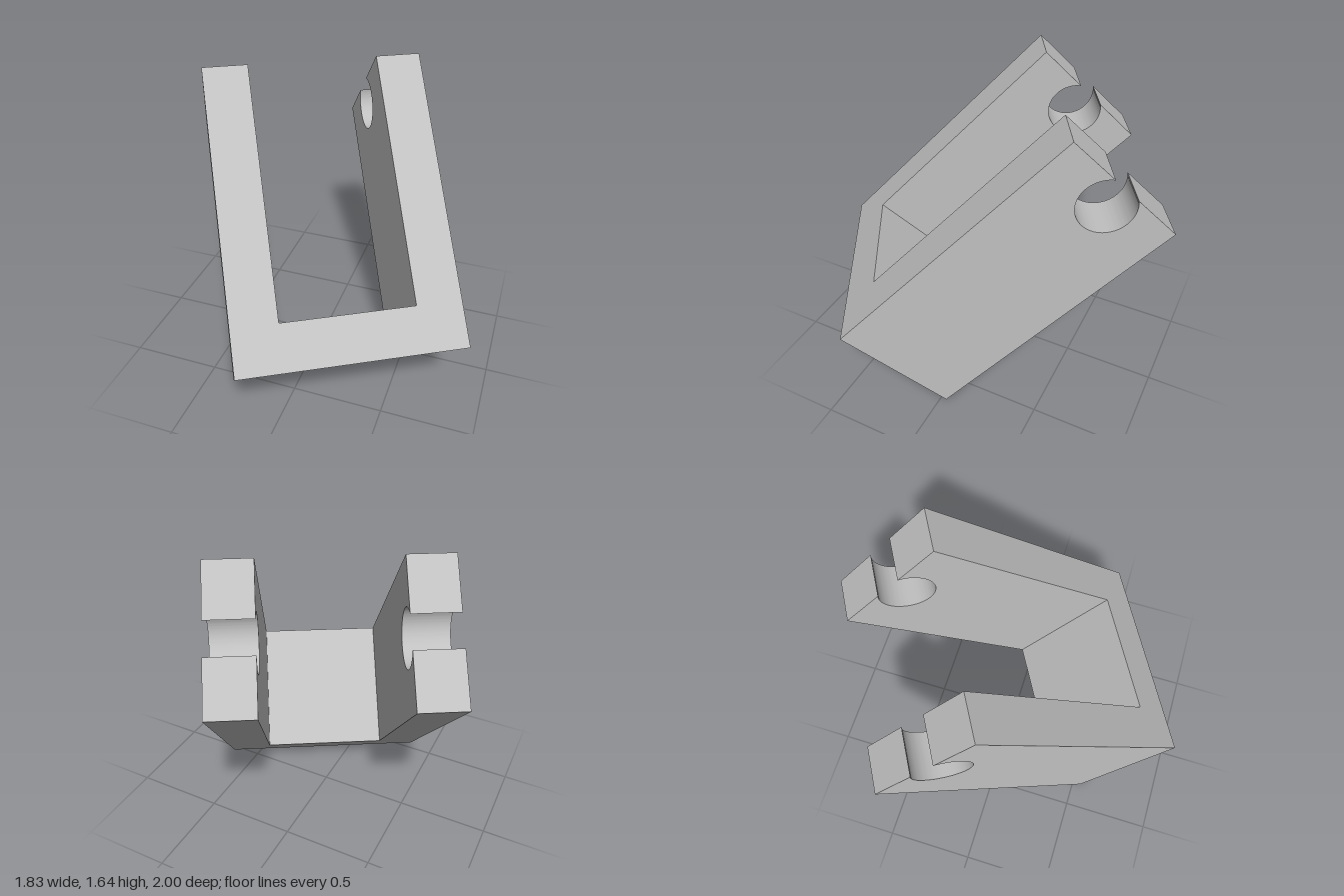
import * as THREE from 'three';
import { toCreasedNormals } from 'three/addons/utils/BufferGeometryUtils.js';

const WIDTH = 1.167, DEPTH = 0.733, LENGTH = 1.583, WALL = 0.239;
const HOLE_R = 0.146, HOLE_INSET = 0.12; // hole centre sits this far below the arm tip

export function createModel() {
  const grey = new THREE.MeshStandardMaterial({ color: 0xc0c0c0 });
  grey.name = 'light grey';

  const model = new THREE.Group();
  model.name = 'clevisBracket';

  // Bracket in its own frame: x across, y along the arms, z through the depth
  const bracket = new THREE.Group();
  bracket.name = 'tiltedBracket';
  bracket.rotation.set(-Math.PI / 4, Math.PI / 6, 0, 'YXZ');
  bracket.position.set(-0.355, 0, 0.551);
  model.add(bracket);

  // Base bar joining the arms
  const base = new THREE.Mesh(new THREE.BoxGeometry(WIDTH, WALL, DEPTH), grey);
  base.name = 'base';
  base.position.set(WIDTH / 2, WALL / 2, DEPTH / 2);
  bracket.add(base);

  // Arm side profile with a round snap-in notch open at the tip
  const mid = DEPTH / 2;
  const a = Math.asin(HOLE_INSET / HOLE_R);
  const half = HOLE_R * Math.cos(a);
  const profile = new THREE.Shape();
  profile.moveTo(0, WALL);
  profile.lineTo(DEPTH, WALL);
  profile.lineTo(DEPTH, LENGTH);
  profile.lineTo(mid + half, LENGTH);
  profile.absarc(mid, LENGTH - HOLE_INSET, HOLE_R, a, Math.PI - a, true);
  profile.lineTo(0, LENGTH);
  profile.closePath();

  const armGeometry = toCreasedNormals(
    new THREE.ExtrudeGeometry(profile, { depth: WALL, bevelEnabled: false, curveSegments: 48 })
      .rotateY(-Math.PI / 2)
      .translate(WALL, 0, 0),
    0.5
  );
  for (const [name, x] of [['rightArm', 0], ['leftArm', WIDTH - WALL]]) {
    const arm = new THREE.Mesh(armGeometry, grey);
    arm.name = name;
    arm.position.x = x;
    bracket.add(arm);
  }
  return model;
}
